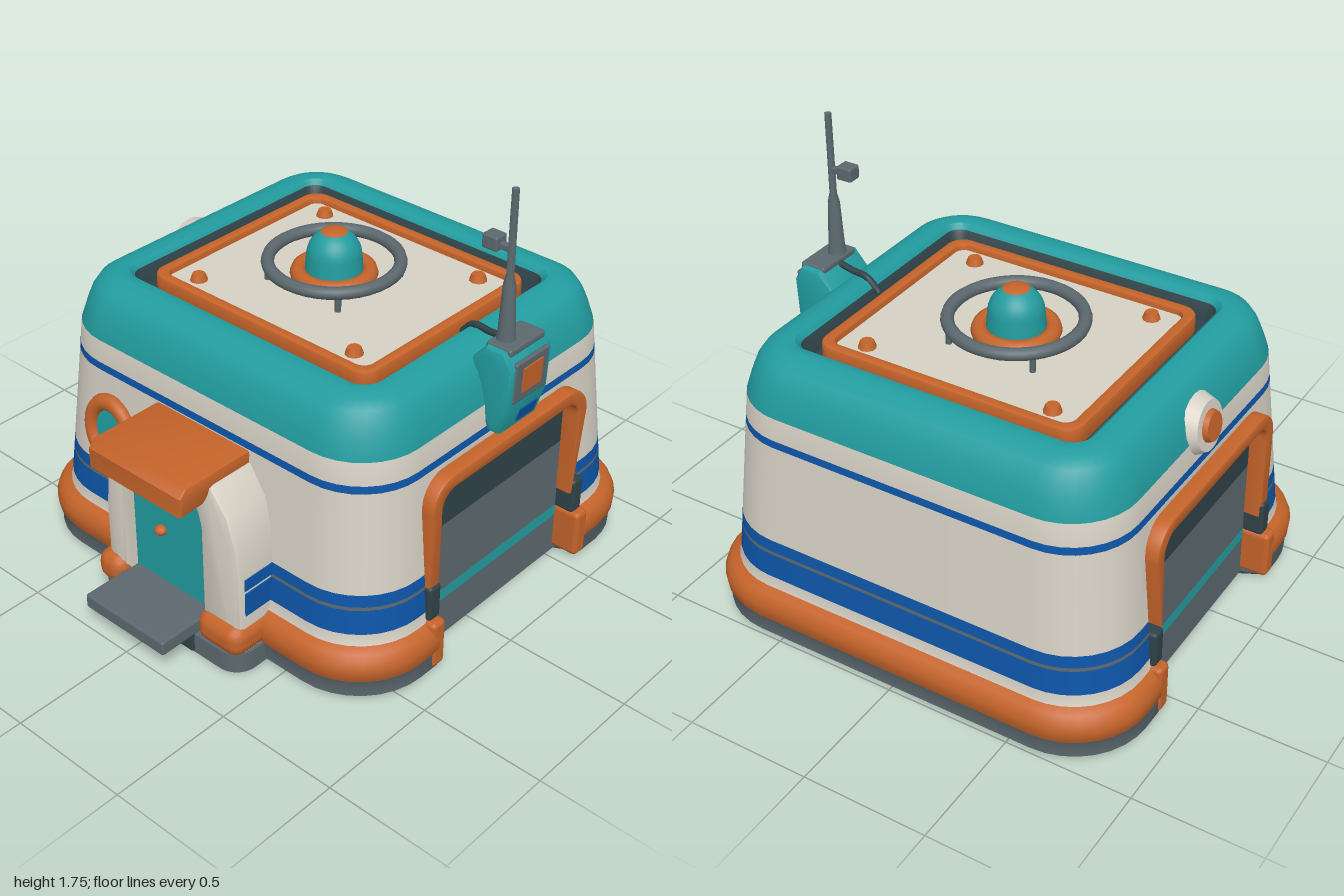
import * as THREE from 'three';
import { toCreasedNormals } from 'three/addons/utils/BufferGeometryUtils.js';
import { RoundedBoxGeometry } from 'three/addons/geometries/RoundedBoxGeometry.js';

const mat = (name, color) => Object.assign(new THREE.MeshStandardMaterial({ color }), { name });
const teal = mat('teal', 0x229c9f), orange = mat('orange', 0xc4632a), cream = mat('cream', 0xd6d0c4);
const blue = mat('blue', 0x0d55a8), grey = mat('slate grey', 0x5b686e), dark = mat('dark slate', 0x2f4248);
const palette = [teal, orange, cream, blue, grey, dark];
const CZ = -0.15; // centre of the main body in z

export function createModel() {
  const root = new THREE.Group();
  const add = (name, geo, material, x = 0, y = 0, z = 0, parent = root) => {
    const m = new THREE.Mesh(geo, material);
    m.name = name;
    m.position.set(x, y, z);
    parent.add(m);
    return m;
  };
  const box = (name, w, h, d, material, x, y, z, r = 0.015) =>
    add(name, new RoundedBoxGeometry(w, h, d, 2, r), material, x, y, z);
  const poly = (pts) => new THREE.Shape(pts.map(([x, y]) => new THREE.Vector2(x, y)));
  const extrude = (shape, depth, b = 0) => {
    const g = new THREE.ExtrudeGeometry(shape, { depth: depth - 2 * b, curveSegments: 8, bevelEnabled: b > 0,
      bevelSize: b, bevelThickness: b, bevelOffset: -b, bevelSegments: 2 });
    return toCreasedNormals(g.translate(0, 0, b), 0.6);
  };
  const roundRect = (hw, hh, r) => {
    const s = new THREE.Shape();
    [[hw - r, hh - r, 0], [r - hw, hh - r, 1], [r - hw, r - hh, 2], [hw - r, r - hh, 3]].forEach(([x, y, q]) =>
      s.absarc(x, y, r, q * Math.PI / 2, (q + 1) * Math.PI / 2));
    return s;
  };

  add('bodyShell', bodyGeometry(), palette);

  // Side bay frames, hinges and feet
  const arch = (hw, top, r, s) => {
    s.moveTo(hw, 0.3);
    s.absarc(hw - r, top - r, r, 0, Math.PI / 2);
    s.absarc(r - hw, top - r, r, Math.PI / 2, Math.PI);
    s.lineTo(-hw, 0.3);
    return s;
  };
  const frameShape = arch(0.46, 0.79, 0.12, new THREE.Shape());
  [[-0.4, 0.3], [-0.4, 0.66]].forEach(([x, y]) => frameShape.lineTo(x, y));
  frameShape.absarc(-0.33, 0.665, 0.07, Math.PI, Math.PI / 2, true);
  frameShape.absarc(0.33, 0.665, 0.07, Math.PI / 2, 0, true);
  frameShape.lineTo(0.4, 0.3);
  for (const s of [1, -1]) {
    const f = add('bayFrame', extrude(frameShape, 0.09, 0.012), orange, s > 0 ? 0.77 : -0.86, 0, CZ + 0.01);
    f.geometry.rotateY(Math.PI / 2);
    for (const k of [1, -1]) {
      const z = CZ + 0.01 + k * 0.433;
      box('bayHinge', 0.1, 0.15, 0.062, dark, s * 0.82, 0.285, z);
      box('bayFoot', 0.13, 0.2, 0.07, orange, s * 0.835, 0.115, z + k * 0.005, 0.02);
    }
  }

  // Entrance porch with an arched opening
  const porch = poly([[-0.3, 0], [-0.3, 0.42], [-0.285, 0.55], [-0.25, 0.66], [-0.17, 0.76], [0.26, 0.76],
    [0.34, 0.66], [0.375, 0.55], [0.39, 0.42], [0.39, 0], [0.2, 0], [0.2, 0.56], [0.185, 0.62], [0.14, 0.67],
    [-0.14, 0.67], [-0.185, 0.62], [-0.2, 0.56], [-0.2, 0]]);
  add('porch', extrude(porch, 0.32, 0.025), cream, 0, 0, 0.48);
  add('frontDoor', new THREE.BoxGeometry(0.42, 0.58, 0.02), teal, 0, 0.4, 0.735);
  const knob = add('doorKnob', new THREE.SphereGeometry(0.025, 10, 8), orange, -0.05, 0.395, 0.755);
  knob.scale.y = 0.8;
  for (const x of [-0.301, 0.391]) {
    add('porchWideStripe', new THREE.BoxGeometry(0.008, 0.098, 0.2), blue, x, 0.299, 0.67);
    add('porchThinStripe', new THREE.BoxGeometry(0.008, 0.048, 0.2), blue, x, 0.386, 0.67);
  }
  const plinth = roundRect(0.37, 0.17, 0.09);
  const p = add('porchPlinth', extrude(plinth, 0.085), grey, 0.035, 0.085, 0.66);
  p.geometry.rotateX(Math.PI / 2);
  box('porchBumperRight', 0.14, 0.13, 0.3, orange, -0.27, 0.14, 0.69, 0.055);
  box('porchBumperLeft', 0.22, 0.13, 0.3, orange, 0.3, 0.14, 0.69, 0.055);
  const awning = poly([[-0.58, 0.73], [-0.79, 0.73], [-0.82, 0.7], [-0.93, 0.695], [-0.93, 0.775], [-0.9, 0.805], [-0.58, 0.805]]);
  const aw = add('awning', extrude(awning, 0.47, 0.012), orange, -0.217, 0, 0);
  aw.geometry.rotateY(Math.PI / 2);
  box('doorStep', 0.41, 0.06, 0.28, grey, -0.005, 0.125, 0.86, 0.01);
  box('stepRiser', 0.38, 0.1, 0.1, dark, -0.005, 0.052, 0.79, 0.01);

  // Round porthole on the front wall
  const port = new THREE.Group();
  port.name = 'porthole';
  port.position.set(-0.45, 0.58, 0.618);
  port.rotation.x = -0.085;
  port.scale.set(1, 1.15, 1);
  root.add(port);
  add('portholeRim', new THREE.TorusGeometry(0.105, 0.03, 10, 32), orange, 0, 0, 0.005, port);
  add('portholeGlass', new THREE.CircleGeometry(0.1, 32), teal, 0, 0, 0.008, port);

  // Roof hatch with bolts, beacon and ring
  const rim = roundRect(0.54, 0.465, 0.07);
  rim.holes.push(roundRect(0.495, 0.42, 0.04));
  const r = add('hatchRim', extrude(rim, 0.08, 0.012), orange, 0, 1.105, CZ - 0.005);
  r.geometry.rotateX(Math.PI / 2);
  add('hatchPanel', new THREE.BoxGeometry(1.0, 0.05, 0.85), cream, 0, 1.055, CZ - 0.005);
  for (const x of [-0.39, 0.385]) for (const z of [-0.51, 0.195])
    add('hatchBolt', new THREE.CylinderGeometry(0.025, 0.036, 0.03, 10), orange, x, 1.092, z);
  const beacon = new THREE.Group();
  beacon.name = 'beacon';
  beacon.position.set(-0.027, 0, -0.16);
  root.add(beacon);
  const flat = (m) => { m.rotation.x = Math.PI / 2; return m; };
  flat(add('beaconRing', new THREE.TorusGeometry(0.25, 0.025, 10, 40), grey, 0, 1.155, 0, beacon));
  flat(add('beaconCollar', new THREE.TorusGeometry(0.135, 0.032, 10, 32), orange, 0, 1.105, 0, beacon));
  add('beaconDrum', new THREE.CylinderGeometry(0.105, 0.115, 0.12, 28), teal, 0, 1.13, 0, beacon);
  add('beaconDome', new THREE.SphereGeometry(0.105, 28, 12, 0, Math.PI * 2, 0, Math.PI / 2), teal, 0, 1.18, 0, beacon);
  add('beaconCap', new THREE.SphereGeometry(0.107, 16, 4, 0, Math.PI * 2, 0, 0.5), orange, 0, 1.182, 0, beacon);
  for (let i = 0; i < 4; i++) {
    const a = Math.PI / 4 + i * Math.PI / 2;
    add('ringPost', new THREE.CylinderGeometry(0.012, 0.012, 0.08, 8), grey, 0.25 * Math.cos(a), 1.115, 0.25 * Math.sin(a), beacon);
  }

  // Radio housing and mast on the left wall
  const housing = poly([[0.71, 0.93], [0.8, 0.82], [0.845, 0.82], [0.88, 0.93], [0.888, 1.1], [0.85, 1.16], [0.77, 1.16], [0.71, 1.09]]);
  add('radioHousing', extrude(housing, 0.25, 0.025), teal, 0, 0, -0.292);
  box('radioFace', 0.02, 0.17, 0.19, grey, 0.88, 1.035, -0.167, 0.008).rotation.z = -0.05;
  box('radioTop', 0.11, 0.03, 0.2, grey, 0.812, 1.153, -0.167, 0.01);
  add('radioButton', new THREE.BoxGeometry(0.009, 0.1, 0.11), orange, 0.891, 1.04, -0.167).rotation.z = -0.05;
  add('radioLamp', new THREE.BoxGeometry(0.009, 0.06, 0.1), blue, 0.862, 0.872, -0.19).rotation.z = -0.31;
  const mast = [[0.04, 1.15], [0.032, 1.19], [0.023, 1.38], [0.014, 1.42], [0.013, 1.745], [0, 1.75]];
  add('mast', toCreasedNormals(new THREE.LatheGeometry(mast.map(([x, y]) => new THREE.Vector2(x, y)), 12), 0.6), grey, 0.797, 0, -0.13);
  box('mastSensor', 0.065, 0.055, 0.06, grey, 0.722, 1.525, -0.13, 0.008);
  box('mastArm', 0.06, 0.025, 0.025, grey, 0.77, 1.518, -0.13, 0.005);
  const cable = new THREE.CatmullRomCurve3([[0.8, 1.15, -0.16], [0.7, 1.135, -0.17], [0.62, 1.13, -0.18], [0.57, 1.08, -0.18]]
    .map((v) => new THREE.Vector3(...v)));
  add('roofCable', new THREE.TubeGeometry(cable, 12, 0.013, 8), dark);

  // Round vent on the right wall
  const vent = new THREE.Group();
  vent.name = 'sideVent';
  vent.position.set(-0.79, 0.96, -0.155);
  vent.rotation.z = Math.PI / 2 - 0.15;
  root.add(vent);
  add('ventPlate', new THREE.CylinderGeometry(0.095, 0.118, 0.05, 20), cream, 0, 0, 0, vent);
  add('ventCap', new THREE.CylinderGeometry(0.055, 0.065, 0.03, 16), orange, 0, 0.03, 0, vent);
  return root;
}

// Rounded-square loft with recessed bays on both sides and a sunken roof well
function bodyGeometry() {
  // height, inset, corner radius
  const rows = [[0, 0.02, 0.3], [0.015, 0.008, 0.3], [0.08, 0.008, 0.3], [0.095, 0, 0.3], [0.14, -0.003, 0.3],
    [0.17, 0.005, 0.3], [0.19, 0.02, 0.29], [0.205, 0.045, 0.28]];
  for (const y of [0.22, 0.25, 0.348, 0.362, 0.41, 0.52, 0.62, 0.67, 0.69, 0.71, 0.73, 0.75, 0.775, 0.81, 0.84, 0.93])
    rows.push([y, 0.047 + (y - 0.2) * 0.088, 0.28 - (y - 0.2) * 0.03]);
  rows.push([1.0, 0.13, 0.25], [1.05, 0.15, 0.23], [1.09, 0.18, 0.19], [1.112, 0.215, 0.16], [1.122, 0.255, 0.12],
    [1.12, 0.29, 0.08], [1.1, 0.31, 0.06], [1.03, 0.33, 0.04]);

  const inBay = (dz, y) => Math.hypot(Math.max(Math.abs(dz) - 0.34, 0), Math.max(y - 0.67, 0)) < 0.0805;
  const ring = ([y, inset, r]) => {
    const hx = 0.9 - inset, hz = 0.85 - inset * 1.07, pts = [];
    const side = (s) => {
      for (let k = -15; k <= 15; k++) {
        const dz = s * k * 0.03, bay = inBay(dz, y);
        pts.push({ p: [s * (bay ? 0.79 : hx), y, CZ + dz], bay });
      }
    };
    const corner = (q, sx, sz) => {
      for (let k = 0; k <= 8; k++) {
        const a = (q + k / 8) * Math.PI / 2;
        pts.push({ p: [sx * (hx - r) + r * Math.cos(a), y, CZ + sz * (hz - r) + r * Math.sin(a)], bay: false });
      }
    };
    side(1); corner(0, 1, 1); corner(1, -1, 1);
    side(-1); corner(2, -1, -1); corner(3, 1, -1);
    return pts;
  };
  // Colour bands: upper limit and material
  const wallBands = [[0.08, grey], [0.2, orange], [0.25, cream], [0.348, blue], [0.362, grey], [0.41, blue],
    [0.81, cream], [0.84, blue], [0.93, cream], [2, teal]];
  const bayBands = [[0.17, grey], [0.22, teal], [0.52, grey], [2, dark]];
  const pick = (bands, y) => palette.indexOf(bands.find((b) => y < b[0])[1]);

  const buckets = palette.map(() => []);
  const rings = rows.map(ring), n = rings[0].length, last = rings.length - 1;
  for (let i = 0; i < last; i++) for (let j = 0; j < n; j++) {
    const k = (j + 1) % n, A = rings[i][j], B = rings[i + 1][j], C = rings[i][k], D = rings[i + 1][k];
    const y = (A.p[1] + B.p[1]) / 2;
    const bay = A.bay && B.bay && C.bay && D.bay;
    const c = i === last - 1 ? palette.indexOf(dark) : pick(bay ? bayBands : wallBands, y);
    buckets[c].push(...A.p, ...B.p, ...C.p, ...C.p, ...B.p, ...D.p);
  }
  const black = buckets[palette.indexOf(dark)];
  for (let j = 0; j < n; j++) {
    const k = (j + 1) % n;
    black.push(0, 0, CZ, ...rings[0][j].p, ...rings[0][k].p);
    black.push(0, 1.03, CZ, ...rings[last][k].p, ...rings[last][j].p);
  }
  const geo = new THREE.BufferGeometry();
  let start = 0;
  buckets.forEach((b, i) => { geo.addGroup(start, b.length / 3, i); start += b.length / 3; });
  geo.setAttribute('position', new THREE.Float32BufferAttribute(buckets.flat(), 3));
  return toCreasedNormals(geo, 0.7);
}
